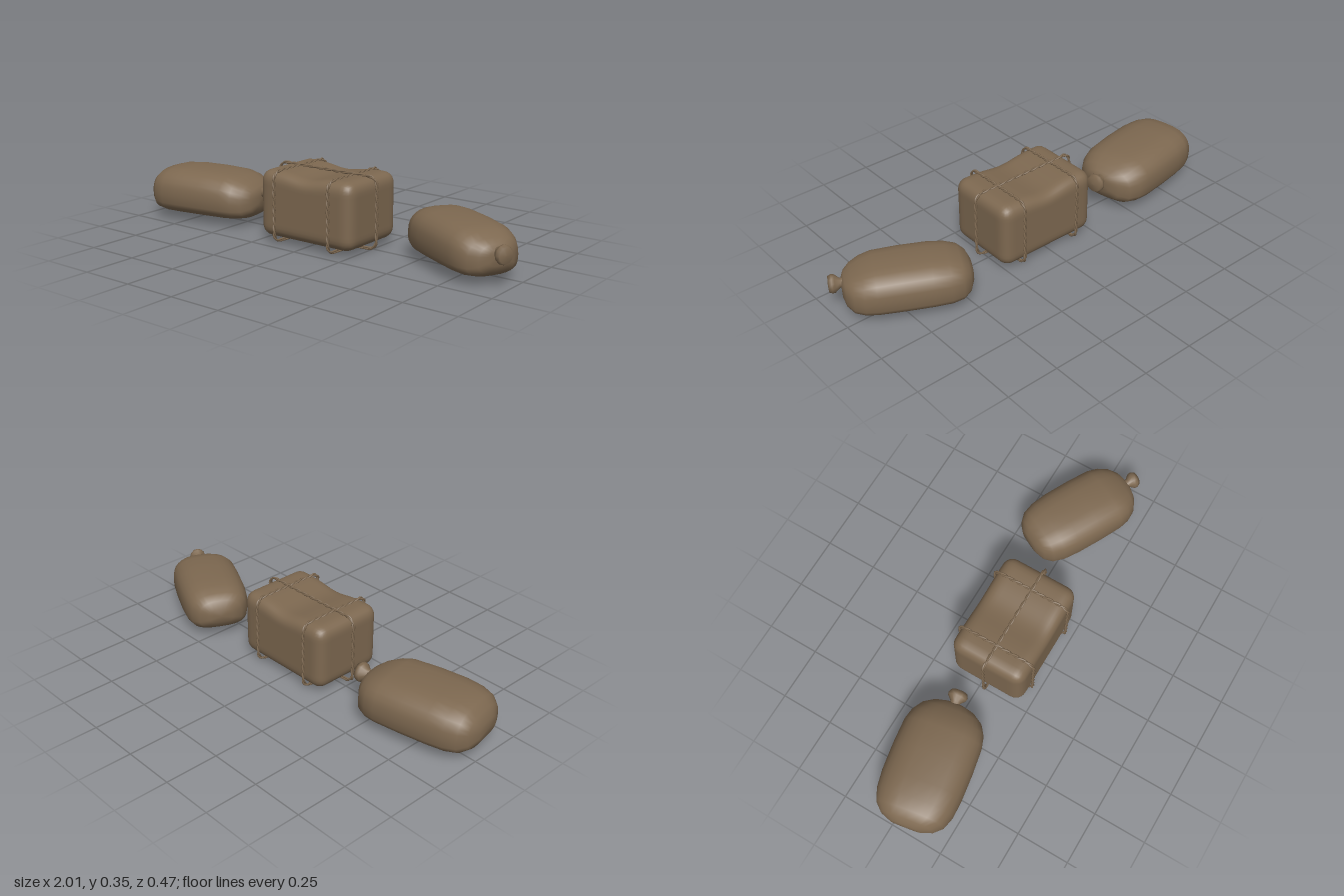
import * as THREE from 'three';
import { mergeVertices } from 'three/addons/utils/BufferGeometryUtils.js';

const burlap = new THREE.MeshStandardMaterial({ color: 0x7d6850 });
burlap.name = 'brown burlap';

function part(name, geometry) {
  const mesh = new THREE.Mesh(geometry, burlap);
  mesh.name = name;
  return mesh;
}

const spow = (v, e) => Math.sign(v) * Math.abs(v) ** e;

// Sack body: superellipse rings along x; station = [x, half width, bottom, top]
function sackGeometry() {
  const stations = [
    [-0.293, 0, 0.125, 0.125], [-0.29, 0.07, 0.09, 0.165], [-0.27, 0.122, 0.054, 0.204],
    [-0.235, 0.158, 0.032, 0.23], [-0.18, 0.178, 0.025, 0.244], [-0.1, 0.187, 0.025, 0.25],
    [0.03, 0.189, 0.025, 0.249], [0.15, 0.185, 0.025, 0.243], [0.205, 0.172, 0.027, 0.228],
    [0.25, 0.145, 0.035, 0.207], [0.28, 0.1, 0.057, 0.186], [0.293, 0.05, 0.09, 0.165], [0.295, 0, 0.14, 0.14],
  ];
  const sides = 28, pos = [], index = [];
  stations.forEach(([x, hw, lo, hi], i) => {
    const mid = lo + (hi - lo) * 0.45;
    for (let j = 0; j < sides; j++) {
      const a = (j / sides) * Math.PI * 2, s = Math.sin(a);
      const y = s > 0 ? mid + (hi - mid) * spow(s, 0.8) : mid + (mid - lo) * spow(s, 0.6);
      pos.push(x, y, hw * spow(Math.cos(a), 0.72));
      if (i < stations.length - 1) {
        const k = (j + 1) % sides, p = i * sides, q = p + sides;
        index.push(p + j, q + j, p + k, p + k, q + j, q + k);
      }
    }
  });
  let geo = new THREE.BufferGeometry();
  geo.setAttribute('position', new THREE.Float32BufferAttribute(pos, 3));
  geo.setIndex(index);
  geo = mergeVertices(geo, 1e-5);
  geo.computeVertexNormals();
  return geo;
}

// Gathered sack mouth: narrow throat flaring to a blunt lip
function neckGeometry() {
  const profile = [[0.024, 0.27], [0.024, 0.3], [0.044, 0.322], [0.046, 0.335], [0.038, 0.35], [0, 0.352]];
  const geo = new THREE.LatheGeometry(profile.map(([r, y]) => new THREE.Vector2(r, y)), 12);
  return geo.rotateZ(-Math.PI / 2).translate(0, 0.152, 0);
}

function sack(name, x, z, turn, scale) {
  const g = new THREE.Group();
  g.name = name;
  g.add(part('sackBody', sackGeometry()), part('sackNeck', neckGeometry()));
  g.position.set(x, 0.025 * (1 - scale[1]), z);
  g.rotation.y = turn;
  g.scale.set(...scale);
  return g;
}

// Soft bale: box with rounded edges and a sagging top
function baleGeometry() {
  const half = [0.2575, 0.155, 0.1825], r = 0.052;
  let geo = new THREE.BoxGeometry(half[0] * 2, half[1] * 2, half[2] * 2, 26, 18, 20);
  geo.deleteAttribute('uv');
  geo.deleteAttribute('normal');
  geo = mergeVertices(geo, 1e-5);
  const p = geo.attributes.position, v = new THREE.Vector3(), core = new THREE.Vector3();
  const inner = new THREE.Vector3(...half).subScalar(r);
  for (let i = 0; i < p.count; i++) {
    v.fromBufferAttribute(p, i);
    core.copy(v).clamp(inner.clone().negate(), inner);
    v.sub(core).setLength(r).add(core);
    const upper = Math.max(0, v.y / half[1]);
    v.y -= 0.02 * upper * Math.exp(-((v.x / 0.1) ** 2));
    p.setXYZ(i, v.x, v.y, v.z);
  }
  geo.computeVertexNormals();
  return geo.translate(0.0175, 0.18, 0.0275);
}

// Rounded rectangle loop in the xy plane
function loopPoints(w, h, r, count) {
  const s = new THREE.Shape();
  const x = w / 2 - r, y = h / 2 - r, q = Math.PI / 2;
  s.moveTo(-x, -h / 2);
  [[x, -y], [x, y], [-x, y], [-x, -y]].forEach(([cx, cy], i) => s.absarc(cx, cy, r, (i - 1) * q, i * q));
  return s.getSpacedPoints(count).slice(0, count);
}

// Rope of two twisted strands following the loop
function rope(name, w, h) {
  const g = new THREE.Group();
  g.name = name;
  const n = 180, twists = 13, off = 0.0038;
  const path = loopPoints(w, h, 0.04, n);
  for (let strand = 0; strand < 2; strand++) {
    const pts = path.map((p, i) => {
      const t = path[(i + 1) % n].clone().sub(path[(i + n - 1) % n]).normalize();
      const a = (i / n) * twists * Math.PI * 2 + strand * Math.PI;
      const c = Math.cos(a) * off;
      return new THREE.Vector3(p.x + t.y * c, p.y - t.x * c, Math.sin(a) * off);
    });
    const curve = new THREE.CatmullRomCurve3(pts, true);
    g.add(part('ropeStrand', new THREE.TubeGeometry(curve, n, 0.0045, 6, true)));
  }
  return g;
}

export function createModel() {
  const model = new THREE.Group();
  model.name = 'suppliesSet';

  // Sacks on both sides
  model.add(sack('rightSack', -0.705, 0.024, 0.17, [1, 1, 1]));
  model.add(sack('leftSack', 0.697, -0.016, -0.475, [0.95, 0.93, 0.85]));

  // Tied bale
  const bale = new THREE.Group();
  bale.name = 'tiedBale';
  bale.add(part('baleBody', baleGeometry()));
  const long = rope('longRope', 0.55, 0.328);
  long.position.set(0.015, 0.174, 0.03);
  bale.add(long);
  for (const x of [-0.14, 0.165]) {
    const cross = rope('crossRope', 0.378, 0.324);
    cross.position.set(x, 0.174, 0.03);
    cross.rotation.y = Math.PI / 2;
    bale.add(cross);
  }
  model.add(bale);
  return model;
}
